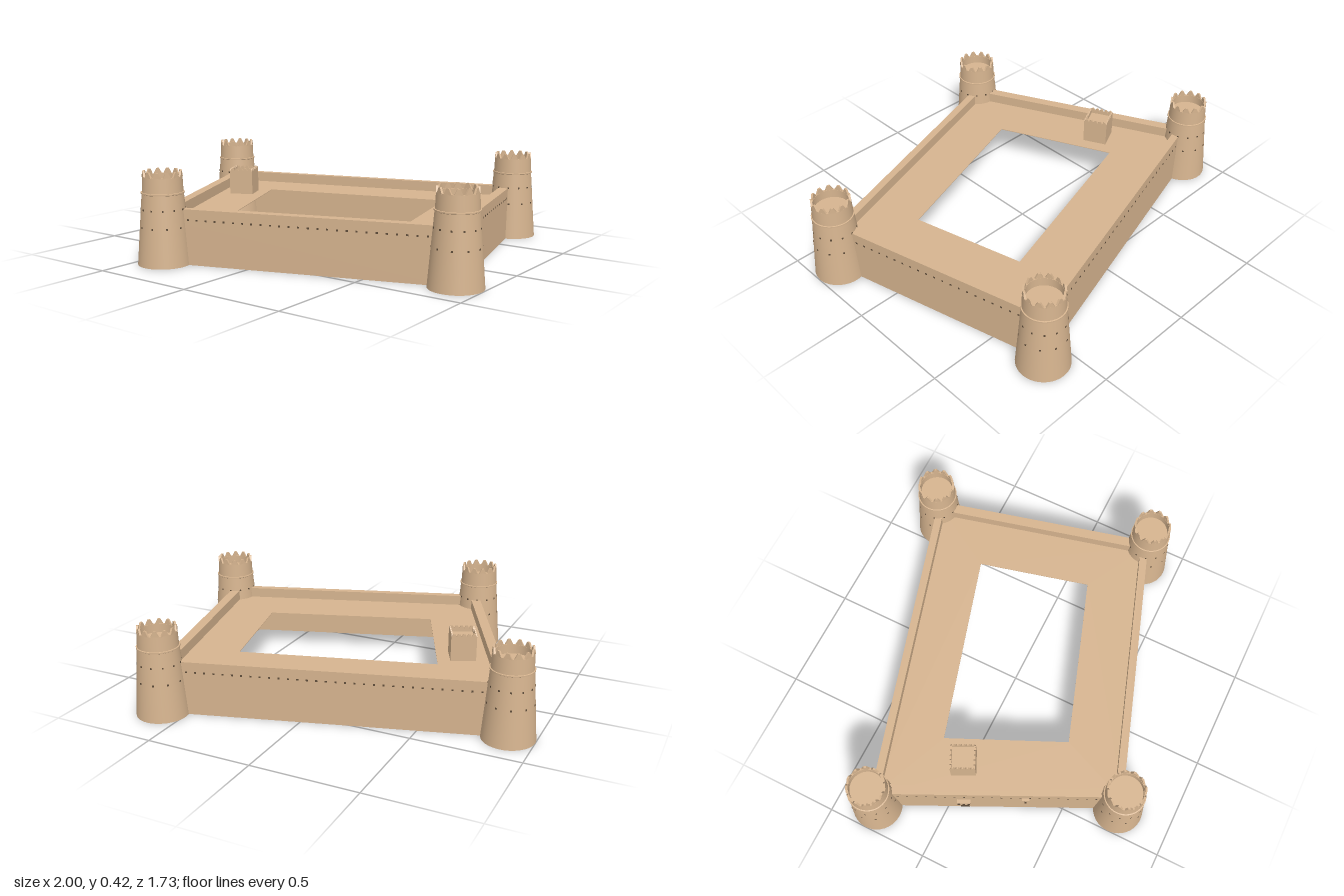
import * as THREE from 'three';

const stone = new THREE.MeshStandardMaterial({ color: 0xd6b48f, side: THREE.DoubleSide });
stone.name = 'sandstone';
const dark = new THREE.MeshStandardMaterial({ color: 0x5f4d3a });
dark.name = 'dark opening';

// Corner points [x, z] of the plan, in order around the fort
const corners = [[-0.38, 0.74], [0.878, 0.318], [0.61, -0.745], [-0.88, -0.31]];
const court = [[-0.24, 0.4], [0.545, 0.135], [0.41, -0.4], [-0.485, -0.14]];
const inset = (k) => corners.map(([x, z]) => [0.056 + (x - 0.056) * k, z * k]);

function add(parent, name, geometry, material, x = 0, y = 0, z = 0, ry = 0) {
  const m = new THREE.Mesh(geometry, material);
  m.name = name;
  m.position.set(x, y, z);
  m.rotation.y = ry;
  parent.add(m);
  return m;
}

// Flat ring between two outlines, raised from y0 to y1
function ring(parent, name, outer, inner, y0, y1) {
  const points = (list) => list.map(([x, z]) => new THREE.Vector2(x, -z));
  const shape = new THREE.Shape(points(outer));
  shape.holes.push(new THREE.Path(points(inner)));
  const g = new THREE.ExtrudeGeometry(shape, { depth: y1 - y0, bevelEnabled: false });
  g.rotateX(-Math.PI / 2);
  add(parent, name, g, stone, 0, y0);
}

// Tapering merlon standing on its base
function merlonGeometry(width, height, depth) {
  const s = new THREE.Shape();
  s.moveTo(-width / 2, 0);
  s.lineTo(width / 2, 0);
  s.lineTo(width * 0.14, height);
  s.lineTo(-width * 0.14, height);
  const g = new THREE.ExtrudeGeometry(s, { depth, bevelEnabled: false });
  g.translate(0, 0, -depth / 2);
  return g;
}

function tower() {
  const t = new THREE.Group();
  t.name = 'cornerTower';
  // Each stretch is its own lathe so that the edges stay sharp
  const stretches = [
    ['towerShaft', [[0.12, 0], [0.0935, 0.322]]],
    ['towerBandUnder', [[0.0935, 0.322], [0.097, 0.324]]],
    ['towerBand', [[0.097, 0.324], [0.097, 0.33]]],
    ['towerBandTop', [[0.097, 0.33], [0.092, 0.331]]],
    ['towerCrown', [[0.092, 0.331], [0.089, 0.4]]],
    ['towerRim', [[0.089, 0.4], [0.079, 0.4]]],
    ['towerInside', [[0.079, 0.4], [0.079, 0.36]]],
    ['towerFloor', [[0.079, 0.36], [0, 0.36]]],
  ];
  for (const [name, p] of stretches) {
    add(t, name, new THREE.LatheGeometry(p.map(([r, y]) => new THREE.Vector2(r, y)), 40), stone);
  }
  // Battlements
  const merlon = merlonGeometry(0.038, 0.026, 0.009);
  for (let i = 0; i < 12; i++) {
    const a = (i / 12) * Math.PI * 2;
    add(t, 'towerMerlon', merlon, stone, Math.sin(a) * 0.084, 0.398, Math.cos(a) * 0.084, a);
  }
  // Two rows of loopholes
  const hole = new THREE.BoxGeometry(0.008, 0.008, 0.006);
  for (const [y, count] of [[0.175, 10], [0.255, 12]]) {
    const r = 0.12 - (0.0265 * y) / 0.322 - 0.002;
    for (let i = 0; i < count; i++) {
      const a = ((i + 0.5) / count) * Math.PI * 2;
      add(t, 'towerLoophole', hole, dark, Math.sin(a) * r, y, Math.cos(a) * r, a);
    }
  }
  return t;
}

// Small square lookout on the roof
function lookout() {
  const k = new THREE.Group();
  k.name = 'roofLookout';
  const s = 0.118, w = 0.008;
  add(k, 'lookoutBody', new THREE.BoxGeometry(s, 0.11, s), stone, 0, 0.253);
  const merlon = merlonGeometry(0.025, 0.015, w);
  for (let side = 0; side < 4; side++) {
    const face = new THREE.Group();
    face.name = 'lookoutParapet';
    face.rotation.y = (side * Math.PI) / 2;
    add(face, 'parapetWall', new THREE.BoxGeometry(s, 0.02, w), stone, 0, 0.312, s / 2 - w / 2);
    for (let i = -2; i <= 2; i++) {
      add(face, 'lookoutMerlon', merlon, stone, i * 0.023, 0.321, s / 2 - w / 2);
    }
    k.add(face);
  }
  return k;
}

export function createModel() {
  const fort = new THREE.Group();
  fort.name = 'fort';

  // Hollow outer walls, thin roof around the open court, and parapet
  ring(fort, 'outerWalls', corners, inset(0.995), 0, 0.203);
  ring(fort, 'roof', corners, court, 0.202, 0.205);
  ring(fort, 'parapet', corners, inset(0.935), 0.205, 0.254);

  for (const [x, z] of corners) {
    const t = tower();
    t.position.set(x, 0, z);
    fort.add(t);
  }

  // Loopholes along every wall
  const hole = new THREE.BoxGeometry(0.009, 0.008, 0.003);
  corners.forEach(([x0, z0], i) => {
    const [x1, z1] = corners[(i + 1) % 4];
    const length = Math.hypot(x1 - x0, z1 - z0);
    const wall = new THREE.Group();
    wall.name = 'wallDetails';
    wall.position.set(x0, 0, z0);
    wall.rotation.y = -Math.atan2(z1 - z0, x1 - x0);
    const count = Math.floor((length - 0.24) / 0.042);
    for (let j = 0; j <= count; j++) {
      add(wall, 'wallLoophole', hole, dark, 0.12 + (j * (length - 0.24)) / count, 0.206, -0.0005);
    }
    if (i === 3) {
      // Gate, the overhanging box above it, and a tall window
      const gx = 0.425;
      add(wall, 'gate', new THREE.BoxGeometry(0.042, 0.085, 0.009), dark, gx, 0.0425, -0.002);
      add(wall, 'gateBox', new THREE.BoxGeometry(0.062, 0.03, 0.02), stone, gx, 0.146, 0.01);
      for (const dx of [-0.023, 0, 0.023]) {
        add(wall, 'gateBoxBracket', new THREE.BoxGeometry(0.012, 0.012, 0.018), stone, gx + dx, 0.128, 0.009);
        add(wall, 'gateBoxSlit', new THREE.BoxGeometry(0.012, 0.02, 0.004), dark, gx + dx, 0.146, 0.019);
      }
      add(wall, 'windowFrame', new THREE.BoxGeometry(0.034, 0.066, 0.016), stone, 0.715, 0.168, 0.004);
      add(wall, 'windowOpening', new THREE.BoxGeometry(0.01, 0.035, 0.004), dark, 0.715, 0.168, 0.011);
      const k = lookout();
      k.position.set(0.423, 0, -0.163);
      wall.add(k);
    }
    fort.add(wall);
  });

  return fort;
}
